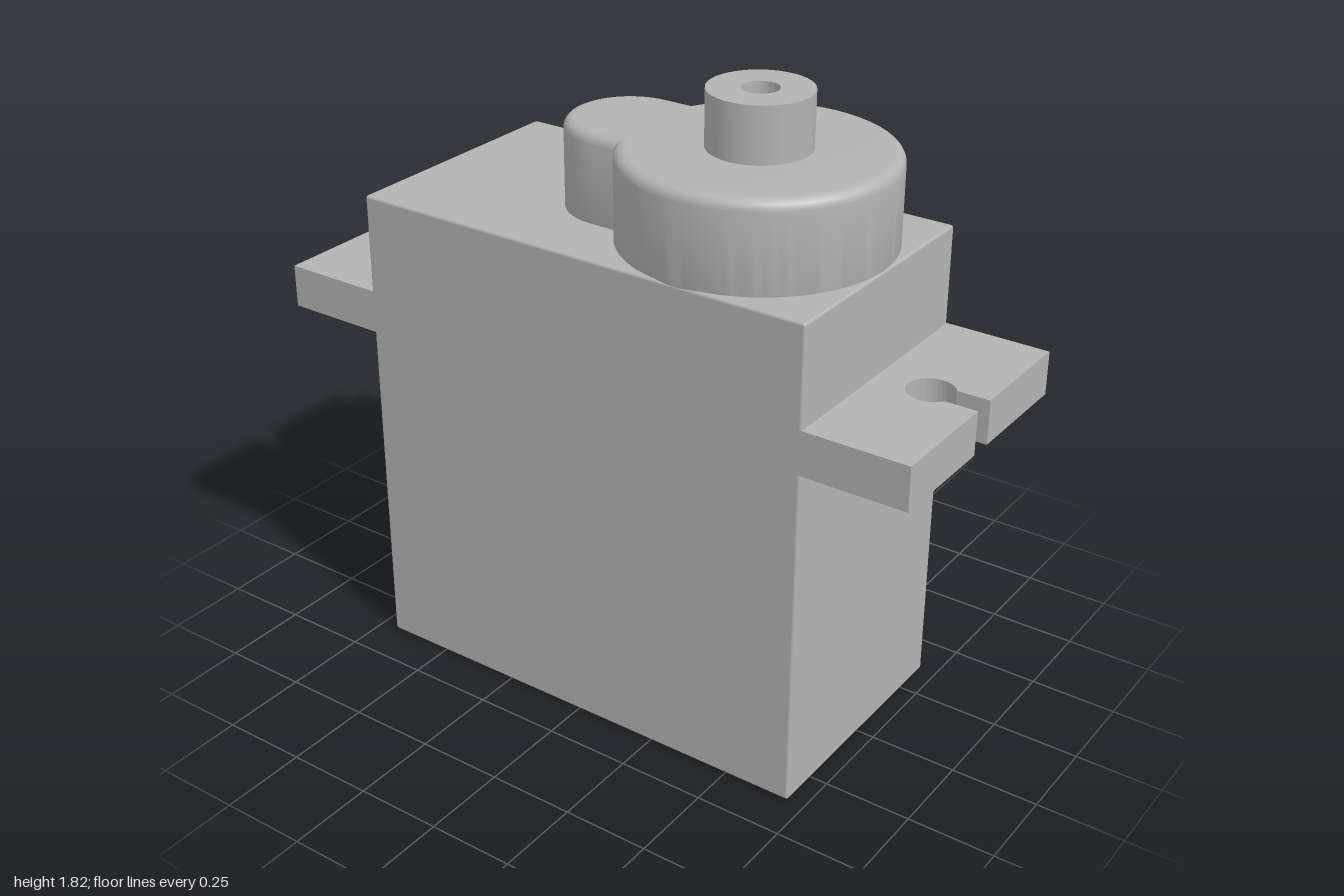
import * as THREE from 'three';
import { toCreasedNormals } from 'three/addons/utils/BufferGeometryUtils.js';
import { RoundedBoxGeometry } from 'three/addons/geometries/RoundedBoxGeometry.js';

const HALF_W = 0.372, HALF_D = 0.7, BODY_TOP = 1.41;

// Extrudes a plan shape (x, z) downwards from the given top height
function extrudePlan(shape, top, height, bevel) {
  const options = { depth: height - 2 * bevel, curveSegments: 48, bevelEnabled: bevel > 0,
    bevelThickness: bevel, bevelSize: bevel, bevelOffset: -bevel, bevelSegments: 5 };
  const geometry = new THREE.ExtrudeGeometry(shape, options);
  geometry.rotateX(Math.PI / 2);
  geometry.translate(0, top - bevel, 0);
  return toCreasedNormals(geometry, 0.6);
}

// Mounting ear with a keyhole slot open at its outer end
function earShape() {
  const r = 0.065, slot = 0.034, centre = 0.852;
  const a = Math.asin(slot / r);
  const s = new THREE.Shape();
  s.moveTo(-HALF_W, HALF_D - 0.02);
  s.lineTo(HALF_W, HALF_D - 0.02);
  s.lineTo(HALF_W, 1);
  s.lineTo(slot, 1);
  s.absarc(0, centre, r, Math.PI / 2 - a, Math.PI / 2 + a, true);
  s.lineTo(-slot, 1);
  s.lineTo(-HALF_W, 1);
  s.closePath();
  return s;
}

// Large round gear cover merged with a small round-ended lobe behind it
function coverShape() {
  const R = 0.371, z = 0.325, r = 0.175, lobeZ = -0.08;
  const a = Math.acos(r / R);
  const s = new THREE.Shape();
  s.absarc(0, z, R, -a, Math.PI + a, false);
  s.absarc(0, lobeZ, r, Math.PI, 2 * Math.PI, false);
  s.closePath();
  return s;
}

export function createModel() {
  const group = new THREE.Group();
  const grey = new THREE.MeshStandardMaterial({ color: 0xb3b3b3 });
  grey.name = 'plainGrey';

  const add = (name, geometry) => {
    const mesh = new THREE.Mesh(geometry, grey);
    mesh.name = name;
    group.add(mesh);
    return mesh;
  };

  // Case
  const body = new RoundedBoxGeometry(2 * HALF_W, BODY_TOP, 2 * HALF_D, 2, 0.008);
  add('body', body.translate(0, BODY_TOP / 2, 0));

  // Front and back ears
  const ear = extrudePlan(earShape(), 1.125, 0.125, 0);
  add('frontEar', ear);
  add('backEar', ear).rotation.y = Math.PI;

  // Gear cover, its lower bevel sunk in the case
  add('gearCover', extrudePlan(coverShape(), 1.66, 0.29, 0.03));

  // Output shaft with a screw hole
  const profile = [[0.14, 1.64], [0.14, 1.815], [0.05, 1.815], [0.05, 1.67], [0, 1.67]]
    .map(([x, y]) => new THREE.Vector2(x, y));
  const shaft = toCreasedNormals(new THREE.LatheGeometry(profile, 48).toNonIndexed(), 0.6);
  add('outputShaft', shaft).position.z = 0.325;

  return group;
}
